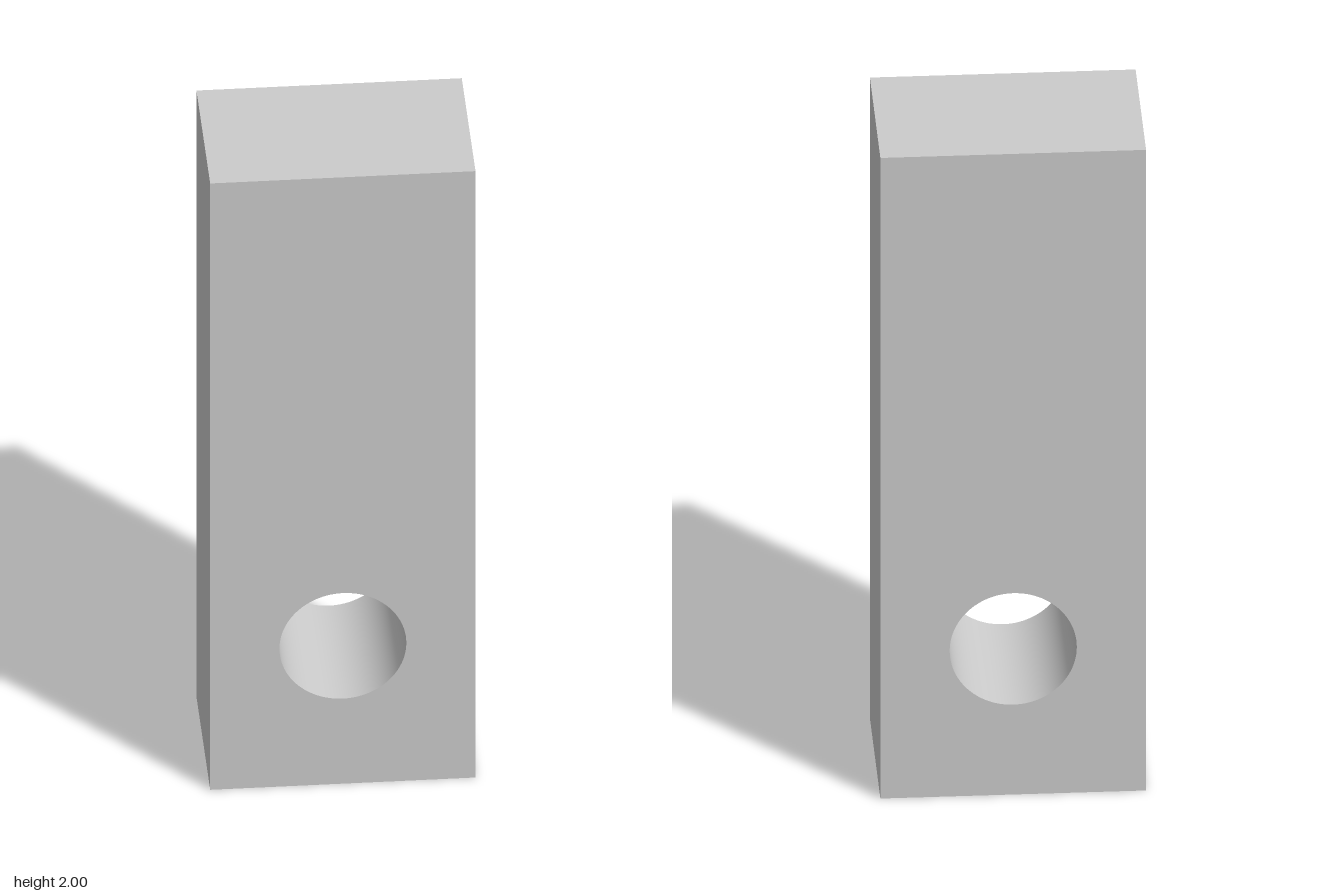
import * as THREE from 'three';
import { toCreasedNormals } from 'three/addons/utils/BufferGeometryUtils.js';

const WIDTH = 8 / 11, HEIGHT = 2, DEPTH = 5 / 11;
const HOLE_Y = 5 / 11, HOLE_RADIUS = 0.174;

export function createModel() {
  const group = new THREE.Group();
  group.name = 'drilledBlock';

  // Rectangular front outline with the round through-hole
  const w = WIDTH / 2;
  const outline = new THREE.Shape([
    new THREE.Vector2(-w, 0),
    new THREE.Vector2(w, 0),
    new THREE.Vector2(w, HEIGHT),
    new THREE.Vector2(-w, HEIGHT),
  ]);
  const hole = new THREE.Path();
  hole.absarc(0, HOLE_Y, HOLE_RADIUS, 0, Math.PI * 2, true);
  outline.holes.push(hole);

  // Extrude front to back, centred in z; smooth bore, sharp block edges
  const extruded = new THREE.ExtrudeGeometry(outline, {
    depth: DEPTH, bevelEnabled: false, curveSegments: 48,
  });
  extruded.translate(0, 0, -DEPTH / 2);
  const geometry = toCreasedNormals(extruded, Math.PI / 6);

  const block = new THREE.Mesh(geometry, new THREE.MeshStandardMaterial({ color: 0xcccccc }));
  block.name = 'blockWithHole';
  group.add(block);
  return group;
}
